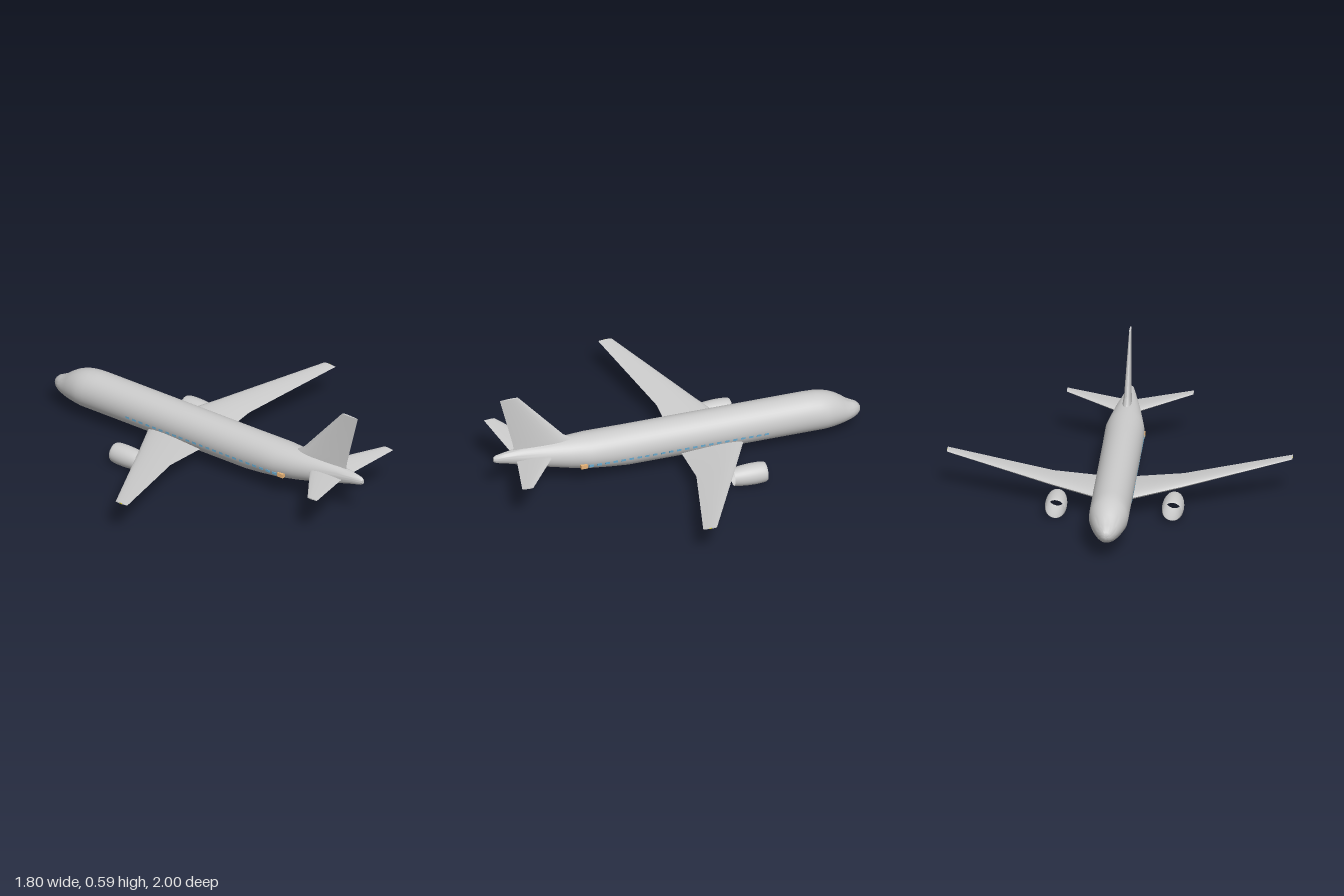
import * as THREE from 'three';
import { toCreasedNormals } from 'three/addons/utils/BufferGeometryUtils.js';

const material = (color) => new THREE.MeshStandardMaterial({ color });
const grey = material(0xcccccc);
const blue = material(0x6aa9cc);
const orange = material(0xe8b478);
const yellow = material(0xd8d040);

function add(parent, name, geometry, mat = grey) {
  const mesh = new THREE.Mesh(geometry, mat);
  mesh.name = name;
  parent.add(mesh);
  return mesh;
}

// Skin a row of closed rings and cap both ends
function loft(rings, flip, crease) {
  const n = rings[0].length;
  const positions = rings.flat(2);
  const index = [];
  const tri = (a, b, c) => (flip ? index.push(a, c, b) : index.push(a, b, c));
  for (let i = 0; i < rings.length - 1; i++) {
    for (let j = 0; j < n; j++) {
      const k = (j + 1) % n;
      const a = i * n + j, b = i * n + k;
      tri(a, b, a + n);
      tri(b, b + n, a + n);
    }
  }
  for (const end of [0, rings.length - 1]) {
    const ring = rings[end];
    const centre = positions.length / 3;
    for (let axis = 0; axis < 3; axis++) {
      positions.push(ring.reduce((sum, p) => sum + p[axis], 0) / n);
    }
    for (let j = 0; j < n; j++) {
      const a = end * n + j, b = end * n + ((j + 1) % n);
      if (end === 0) tri(centre, b, a);
      else tri(centre, a, b);
    }
  }
  const geometry = new THREE.BufferGeometry();
  geometry.setAttribute('position', new THREE.Float32BufferAttribute(positions, 3));
  geometry.setIndex(index);
  return toCreasedNormals(geometry, crease);
}

// Tapered surface; stations are [span, height, leading z, trailing z, thickness]
function aerofoilSurface(stations, side = 1) {
  const steps = 10;
  const rings = stations.map(([x, y, lead, trail, thick]) => {
    const ring = [];
    for (let j = 0; j < steps * 2; j++) {
      const angle = (j / (steps * 2)) * Math.PI * 2;
      const s = (1 - Math.cos(angle)) / 2;      // 0 at trailing edge, 1 at leading edge
      const c = 1 - s;
      const half = thick * (1.485 * Math.sqrt(c) - 0.63 * c - 1.758 * c * c + 1.4215 * c ** 3 - 0.5185 * c ** 4);
      ring.push([x * side, y + Math.sign(Math.sin(angle)) * half, lead + (trail - lead) * c]);
    }
    return ring;
  });
  return loft(rings, side > 0, 0.7);
}

// Fuselage stations: [z, top, bottom, half width]
const body = [
  [-1.0, 0.146, 0.124, 0.009], [-0.994, 0.158, 0.111, 0.022], [-0.98, 0.172, 0.097, 0.035],
  [-0.955, 0.184, 0.086, 0.05], [-0.93, 0.197, 0.078, 0.06], [-0.9, 0.221, 0.071, 0.073],
  [-0.87, 0.241, 0.066, 0.084], [-0.835, 0.257, 0.062, 0.094], [-0.8, 0.267, 0.06, 0.102],
  [-0.76, 0.274, 0.059, 0.103], [-0.7, 0.277, 0.059, 0.103], [0.28, 0.277, 0.059, 0.103],
  [0.38, 0.277, 0.069, 0.103], [0.49, 0.277, 0.084, 0.102], [0.6, 0.275, 0.104, 0.086],
  [0.72, 0.272, 0.132, 0.066], [0.85, 0.264, 0.166, 0.041], [0.94, 0.253, 0.19, 0.024],
  [0.985, 0.245, 0.2, 0.016], [1.0, 0.236, 0.209, 0.009],
];

function fuselage() {
  const sides = 40;
  const rings = body.map(([z, top, bottom, half]) =>
    Array.from({ length: sides }, (_, j) => {
      const a = (j / sides) * Math.PI * 2;
      return [half * Math.cos(a), (top + bottom) / 2 + ((top - bottom) / 2) * Math.sin(a), z];
    }));
  return loft(rings, false, 0.7);
}

export function createModel() {
  const model = new THREE.Group();
  model.name = 'airliner';
  add(model, 'fuselage', fuselage());

  // Upright fin: a surface built along +x, turned to stand up
  const fin = aerofoilSurface([
    [0.24, 0, 0.53, 0.89, 0.05],
    [0.275, 0, 0.575, 0.891, 0.046],
    [0.305, 0, 0.62, 0.896, 0.036],
    [0.587, 0, 0.865, 0.965, 0.01],
  ]);
  add(model, 'tailFin', fin.rotateZ(Math.PI / 2));

  // Open engine shell profile: [radius, z]
  const shell = new THREE.SplineCurve([
    [0.046, -0.21], [0.053, -0.25], [0.057, -0.3], [0.057, -0.345], [0.054, -0.378], [0.049, -0.39],
  ].map(([r, z]) => new THREE.Vector2(r, z))).getPoints(16);
  const shellMaterial = material(0xcccccc);
  shellMaterial.side = THREE.DoubleSide;

  for (const side of [1, -1]) {
    const label = side > 0 ? 'left' : 'right';

    add(model, `${label}Wing`, aerofoilSurface([
      [0.06, 0.105, -0.35, 0, 0.042],
      [0.34, 0.13, -0.211, 0, 0.03],
      [0.9, 0.195, 0.066, 0.141, 0.007],
    ], side));

    add(model, `${label}Tailplane`, aerofoilSurface([
      [0.02, 0.207, 0.67, 0.88, 0.026],
      [0.33, 0.241, 0.886, 0.947, 0.007],
    ], side));

    const engine = add(model, `${label}Engine`, new THREE.LatheGeometry(shell, 36), shellMaterial);
    engine.rotation.x = Math.PI / 2;
    engine.position.set(side * 0.305, 0.058, 0);

    // Wing tip light
    const light = add(model, `${label}TipLight`, new THREE.BoxGeometry(0.004, 0.005, 0.014), yellow);
    light.position.set(side * 0.9, 0.195, 0.1);

    // Cabin window row
    const windows = new THREE.Group();
    windows.name = `${label}Windows`;
    for (let i = 0; i < 23; i++) {
      const pane = add(windows, 'window', new THREE.BoxGeometry(0.006, 0.012, 0.024), blue);
      pane.position.set(side * 0.098, 0.142, 0.495 - i * 0.0435);
    }
    model.add(windows);

    // Rear door
    const door = add(model, `${label}RearDoor`, new THREE.BoxGeometry(0.022, 0.022, 0.036), orange);
    door.position.set(side * 0.092, 0.144, 0.535);
  }
  return model;
}
